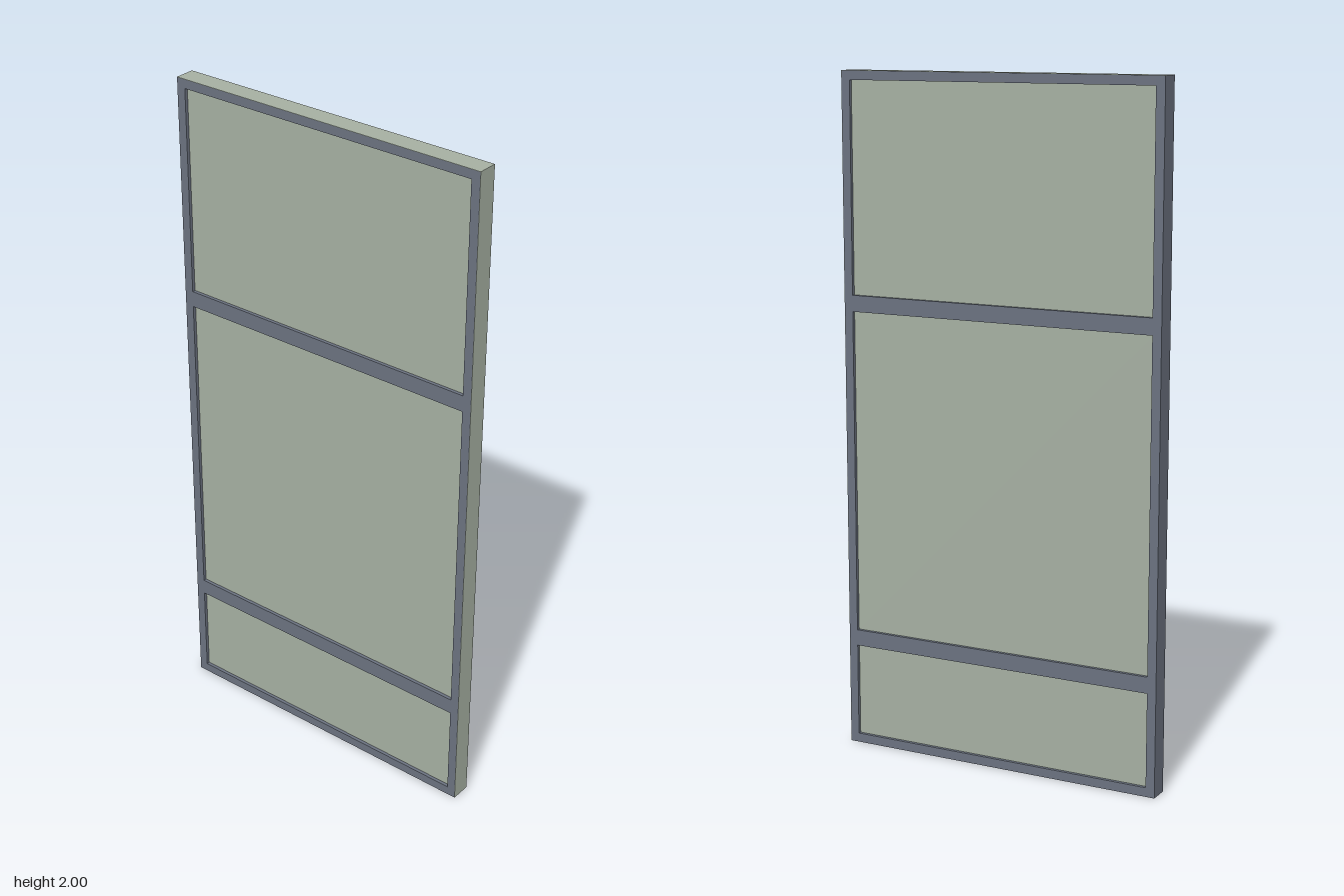
import * as THREE from 'three';

export function createModel() {
  const frameMat = new THREE.MeshStandardMaterial({ color: 0x6b7280 });
  frameMat.name = 'slate frame';
  const panelMat = new THREE.MeshStandardMaterial({ color: 0xa6b0a2 });
  panelMat.name = 'sage panel';

  const W = 1, H = 2, D = 0.06;      // overall size
  const edge = 0.027;                // width of the outer frame members
  const bar = 0.048;                 // height of the cross rails
  const recess = 0.01;               // depth of the panels behind the frame face
  const skin = 0.001;                // thin coloured edge plates

  const group = new THREE.Group();
  group.name = 'doorPanel';

  // Box given by its x and y limits, centred on z
  function box(name, mat, x0, x1, y0, y1, depth) {
    const mesh = new THREE.Mesh(new THREE.BoxGeometry(x1 - x0, y1 - y0, depth), mat);
    mesh.position.set((x0 + x1) / 2, (y0 + y1) / 2, 0);
    mesh.name = name;
    group.add(mesh);
  }

  // Upright stiles
  box('rightStile', frameMat, -W / 2, -W / 2 + edge, 0, H - skin, D);
  box('leftStile', frameMat, W / 2 - edge, W / 2 - skin, 0, H - skin, D);

  // Horizontal rails between the stiles
  const rails = [
    ['bottomRail', 0, edge],
    ['lowerCrossRail', 0.328 - bar / 2, 0.328 + bar / 2],
    ['upperCrossRail', 1.335 - bar / 2, 1.335 + bar / 2],
    ['topRail', H - edge, H - skin],
  ];
  const inner = W / 2 - edge;
  for (const [name, y0, y1] of rails) box(name, frameMat, -inner, inner, y0, y1, D);

  // Recessed panels filling the gaps between rails
  const panelNames = ['lowerPanel', 'middlePanel', 'upperPanel'];
  panelNames.forEach((name, i) =>
    box(name, panelMat, -inner, inner, rails[i][2], rails[i + 1][1], D - 2 * recess));

  // Panel-coloured outer edges on the left side and the top
  box('leftEdge', panelMat, W / 2 - skin, W / 2, 0, H - skin, D);
  box('topEdge', panelMat, -W / 2, W / 2, H - skin, H, D);

  return group;
}
